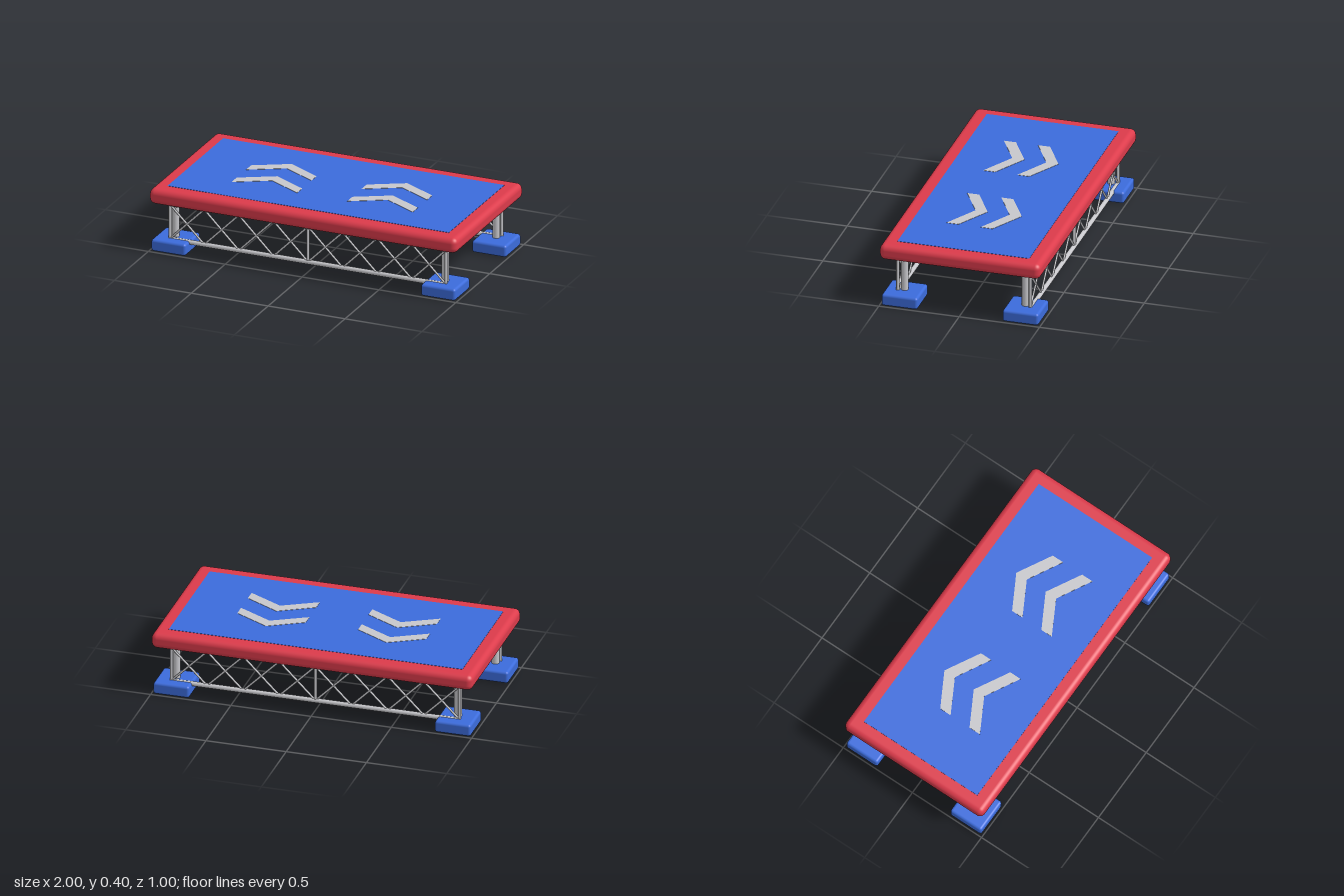
import * as THREE from 'three';
import { RoundedBoxGeometry } from 'three/addons/geometries/RoundedBoxGeometry.js';

const paint = (name, color) => {
  const m = new THREE.MeshStandardMaterial({ color });
  m.name = name;
  return m;
};

export function createModel() {
  const red = paint('red padding', 0xdc3b4b);
  const blue = paint('blue vinyl', 0x3c6cdc);
  const grey = paint('grey metal', 0xc8c8cc);
  const model = new THREE.Group();
  model.name = 'platform';

  const add = (parent, name, geometry, material, x = 0, y = 0, z = 0) => {
    const mesh = new THREE.Mesh(geometry, material);
    mesh.name = name;
    mesh.position.set(x, y, z);
    parent.add(mesh);
    return mesh;
  };

  // Round bar between two points
  const up = new THREE.Vector3(0, 1, 0);
  const bar = (parent, name, a, b, radius, sides = 16) => {
    const from = new THREE.Vector3(...a);
    const dir = new THREE.Vector3(...b).sub(from);
    const mesh = add(parent, name, new THREE.CylinderGeometry(radius, radius, dir.length(), sides), grey);
    mesh.position.copy(from).addScaledVector(dir, 0.5);
    mesh.quaternion.setFromUnitVectors(up, dir.normalize());
  };

  // Padded deck with its blue top sheet
  add(model, 'deck', new RoundedBoxGeometry(2, 0.097, 1, 5, 0.035), red, 0, 0.3525, 0);
  add(model, 'topSheet', new THREE.BoxGeometry(1.83, 0.004, 0.82), blue, 0, 0.4005, 0);

  // Chevrons pointing to the back
  const chevron = new THREE.Shape([
    [-0.213, 0.083], [0, 0.2], [0.213, 0.083], [0.213, 0.008], [0, 0.124], [-0.213, 0.008],
  ].map(([x, y]) => new THREE.Vector2(x, y)));
  const chevronGeometry = new THREE.ExtrudeGeometry(chevron, { depth: 0.002, bevelEnabled: false });
  chevronGeometry.rotateX(-Math.PI / 2);
  for (const x of [-0.376, 0.376]) {
    for (const z of [0, 0.212]) add(model, 'chevron', chevronGeometry, grey, x, 0.402, z);
  }

  // Feet and legs at the corners
  const footGeometry = new RoundedBoxGeometry(0.224, 0.075, 0.224, 4, 0.016);
  for (const sx of [-1, 1]) {
    for (const sz of [-1, 1]) {
      add(model, 'foot', footGeometry, blue, sx * 0.877, 0.0375, sz * 0.376);
      bar(model, 'leg', [sx * 0.877, 0.07, sz * 0.376], [sx * 0.877, 0.288, sz * 0.376], 0.023, 24);
    }
  }

  // Lattice truss along the front and back
  const half = 0.9, panels = 8, low = 0.065, high = 0.29;
  for (const z of [-0.412, 0.412]) {
    const truss = new THREE.Group();
    truss.name = 'truss';
    model.add(truss);
    for (const y of [low, high]) bar(truss, 'chord', [-half - 0.005, y, z], [half + 0.005, y, z], 0.0145);
    for (const x of [-half + 0.003, 0, half - 0.003]) bar(truss, 'post', [x, low, z], [x, high, z], 0.01);
    for (let i = 0; i < panels; i++) {
      const x0 = -half + (i * 2 * half) / panels;
      const x1 = x0 + (2 * half) / panels;
      bar(truss, 'brace', [x0, low, z], [x1, high, z], 0.0065, 10);
      bar(truss, 'brace', [x0, high, z], [x1, low, z], 0.0065, 10);
    }
  }

  return model;
}
